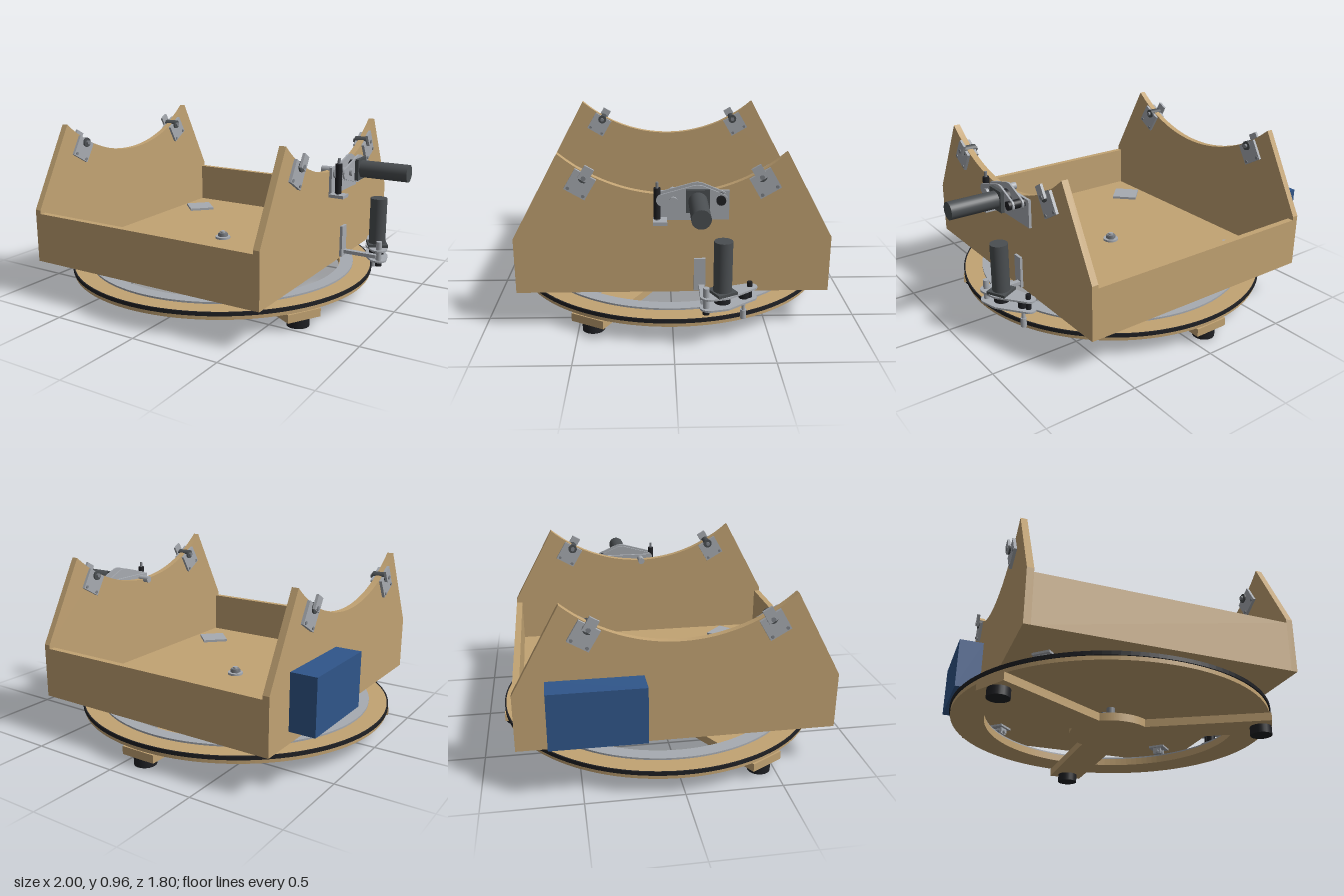
import * as THREE from 'three';
import { ConvexGeometry } from 'three/addons/geometries/ConvexGeometry.js';

const mat = (name, color, side = THREE.FrontSide) => new THREE.MeshStandardMaterial({ name, color, side });

export function createModel() {
  const wood = mat('plywood', 0xc2a373), metal = mat('aluminium', 0xa7abb1), dark = mat('motorGrey', 0x4a4e51);
  const black = mat('blackRubber', 0x1f2024), blue = mat('bluePlastic', 0x30568a), steel = mat('steel', 0x7d8187);
  const root = new THREE.Group();
  const CX = -0.1; // turntable axis

  const add = (name, geo, m, x = 0, y = 0, z = 0, parent = root) => {
    const mesh = new THREE.Mesh(geo, m);
    mesh.name = name;
    mesh.position.set(x, y, z);
    parent.add(mesh);
    return mesh;
  };
  const group = (name, x, y, z, parent = root) => {
    const g = new THREE.Group();
    g.name = name;
    g.position.set(x, y, z);
    parent.add(g);
    return g;
  };
  // box given by its limits
  const box = (name, m, x0, x1, y0, y1, z0, z1, parent = root) =>
    add(name, new THREE.BoxGeometry(x1 - x0, y1 - y0, z1 - z0), m, (x0 + x1) / 2, (y0 + y1) / 2, (z0 + z1) / 2, parent);
  // cylinder along an axis, centred
  const rod = (name, m, r, len, axis, x, y, z, parent = root, sides = 24) => {
    const g = new THREE.CylinderGeometry(r, r, len, sides);
    if (axis === 'x') g.rotateZ(Math.PI / 2);
    if (axis === 'z') g.rotateX(Math.PI / 2);
    return add(name, g, m, x, y, z, parent);
  };
  // flat ring lying in the xz plane with its bottom at y = 0
  const ring = (ro, ri, h) => {
    const s = new THREE.Shape().absarc(0, 0, ro, 0, Math.PI * 2);
    s.holes.push(new THREE.Path().absarc(0, 0, ri, 0, Math.PI * 2, true));
    return new THREE.ExtrudeGeometry(s, { depth: h, bevelEnabled: false, curveSegments: 64 }).rotateX(-Math.PI / 2);
  };
  // plate that wraps several circles [z, offset, radius], thin along x
  const lobes = (circles, t) => {
    const pts = [];
    for (const [u, v, r] of circles)
      for (let i = 0; i < 20; i++) {
        const a = (i / 20) * Math.PI * 2;
        for (const x of [-t / 2, t / 2]) pts.push(new THREE.Vector3(x, v + r * Math.sin(a), u + r * Math.cos(a)));
      }
    return new ConvexGeometry(pts);
  };

  // ---- three-armed ground board with round hub and feet
  const arms = [Math.PI / 6, (5 * Math.PI) / 6, (3 * Math.PI) / 2];
  const W = 0.1, L = 0.9, HUB = 0.234;
  const board = new THREE.Shape();
  const spread = Math.asin(W / HUB);
  arms.forEach((a, i) => {
    const c = Math.cos(a), s = Math.sin(a);
    const p = (l, w) => [l * c - w * s, l * s + w * c];
    if (i === 0) board.moveTo(...p(L, -W)); else board.lineTo(...p(L, -W));
    board.lineTo(...p(L, W));
    board.absarc(0, 0, HUB, a + spread, a + (Math.PI * 2) / 3 - spread, false);
    rod('foot', black, 0.06, 0.048, 'y', CX + 0.84 * c, 0.024, 0.84 * s);
  });
  const boardGeo = new THREE.ExtrudeGeometry(board, { depth: 0.045, bevelEnabled: false, curveSegments: 16 });
  add('groundBoard', boardGeo.rotateX(Math.PI / 2), wood, CX, 0.093, 0);

  // ---- turntable ring, rubber rim and bearing track
  add('turntableRing', ring(0.893, 0.71, 0.042), wood, CX, 0.093, 0);
  add('rimBelt', ring(0.9, 0.892, 0.021), black, CX, 0.115, 0);
  add('bearingTrack', ring(0.79, 0.715, 0.01), metal, CX, 0.135, 0);

  // ---- central pivot
  rod('pivotBlock', wood, 0.055, 0.07, 'y', CX, 0.128, 0);
  rod('pivotBolt', steel, 0.025, 0.13, 'y', CX, 0.215, 0);
  rod('pivotWasher', metal, 0.045, 0.012, 'y', CX, 0.251, 0);
  rod('pivotNut', steel, 0.03, 0.02, 'y', CX, 0.266, 0, root, 6);
  rod('pivotBoltTip', metal, 0.014, 0.02, 'y', CX, 0.28, 0);
  box('encoderArm', metal, CX - 0.015, CX + 0.015, 0.158, 0.166, -0.32, 0.03);
  box('encoder', blue, CX - 0.03, CX + 0.03, 0.172, 0.208, -0.105, -0.06);

  // ---- rocker box
  box('floor', wood, -0.78, 0.585, 0.21, 0.245, -0.785, 0.785);
  for (const s of [-1, 1]) {
    const z = s * 0.8025;
    box(s > 0 ? 'frontBoard' : 'backBoard', wood, -0.78, 0.585, 0.21, 0.49, z - 0.0175, z + 0.0175);
  }
  const R = 0.876, cy = 0.745 + R, half = Math.asin(0.575 / R);
  const side = new THREE.Shape();
  side.moveTo(-0.82, 0.21);
  side.lineTo(0.82, 0.21);
  side.lineTo(0.82, 0.51);
  side.lineTo(0.575, 0.96);
  side.absarc(0, cy, R, -Math.PI / 2 + half, -Math.PI / 2 - half, true);
  side.lineTo(-0.82, 0.51);
  const sideGeo = new THREE.ExtrudeGeometry(side, { depth: 0.036, bevelEnabled: false, curveSegments: 32 }).rotateY(Math.PI / 2);
  add('rightSideBoard', sideGeo, wood, -0.816, 0, 0);
  add('leftSideBoard', sideGeo, wood, 0.585, 0, 0);

  // ---- casters under the floor with their cover plates
  for (const sx of [-1, 1])
    for (const sz of [-1, 1]) {
      const g = group('caster', CX + sx * 0.535, 0, sz * 0.54);
      g.rotation.y = -Math.atan2(sz, sx);
      box('coverPlate', metal, -0.08, 0.08, 0.245, 0.26, -0.08, 0.08, g);
      box('casterPlate', metal, -0.05, 0.05, 0.198, 0.21, -0.05, 0.05, g);
      for (const s of [-1, 1]) box('casterFork', metal, s * 0.03 - 0.005, s * 0.03 + 0.005, 0.16, 0.2, -0.025, 0.025, g);
      rod('casterWheel', steel, 0.027, 0.045, 'x', 0, 0.173, 0, g);
      rod('casterAxle', metal, 0.012, 0.1, 'x', 0, 0.175, 0, g);
    }

  // ---- roller brackets clamped on the curved edges
  for (const sx of [-1, 1])
    for (const sz of [-1, 1]) {
      const g = group('rollerBracket', sx > 0 ? 0.603 : -0.798, 0.805, sz * 0.465);
      g.rotation.x = -sz * 0.53;
      for (const s of [-1, 1]) box('clampPlate', metal, s * 0.026 - 0.008, s * 0.026 + 0.008, -0.06, 0.06, -0.06, 0.06, g);
      rod('roller', dark, 0.027, 0.085, 'x', 0, 0.043, 0, g);
      rod('rollerAxle', steel, 0.012, 0.11, 'x', 0, 0.043, 0, g);
      box('tab', metal, sx * 0.045 - 0.007, sx * 0.045 + 0.007, 0.03, 0.105, -0.027, 0.027, g);
      for (const s of [-1, 1]) rod('screw', steel, 0.009, 0.075, 'x', 0, -0.045, s * 0.043, g, 12);
    }

  // ---- control box
  box('controlBox', blue, -0.97, -0.83, 0.29, 0.585, -0.66, -0.18);

  // ---- altitude drive
  const alt = group('altitudeDrive', 0, 0, 0);
  box('mountPlate', metal, 0.621, 0.636, 0.615, 0.77, -0.285, 0.065, alt);
  box('mountShelf', metal, 0.636, 0.72, 0.615, 0.632, 0.03, 0.1, alt);
  const outline = [[0.055, 0.745, 0.03], [-0.12, 0.745, 0.077], [-0.24, 0.745, 0.03]];
  add('innerPlate', lobes(outline, 0.01), metal, 0.655, 0, 0, alt);
  add('outerPlate', lobes(outline, 0.01), metal, 0.71, 0, 0, alt);
  rod('motor', dark, 0.047, 0.27, 'x', 0.865, 0.745, -0.12, alt, 32);
  box('motorFlange', dark, 0.715, 0.735, 0.687, 0.803, -0.178, -0.062, alt);
  rod('driveWheel', black, 0.045, 0.035, 'x', 0.683, 0.745, -0.12, alt);
  rod('pulley', black, 0.024, 0.1, 'x', 0.68, 0.745, -0.235, alt);
  rod('driveShaft', metal, 0.02, 0.18, 'x', 0.64, 0.745, 0, alt);
  rod('tensionSpring', black, 0.018, 0.16, 'y', 0.682, 0.72, 0.08, alt);
  rod('springBolt', steel, 0.008, 0.2, 'y', 0.682, 0.73, 0.08, alt, 12);

  // ---- azimuth drive
  box('azimuthMount', metal, 0.621, 0.636, 0.22, 0.4, -0.17, -0.11);
  box('azimuthArm', metal, 0.63, 0.83, 0.235, 0.255, -0.165, -0.135);
  const az = group('azimuthDrive', 0.795, 0, -0.245);
  az.rotation.y = 0.48;
  const azOutline = [[-0.17, 0, 0.035], [0, 0, 0.065], [0.08, 0, 0.045]];
  for (const [name, y] of [['lowerPlate', 0.217], ['upperPlate', 0.277]])
    add(name, lobes(azOutline, 0.01).rotateZ(Math.PI / 2), metal, 0, y, 0, az);
  rod('motor', dark, 0.047, 0.27, 'y', 0, 0.425, 0, az, 32);
  box('motorFlange', dark, -0.055, 0.055, 0.28, 0.297, -0.055, 0.055, az);
  rod('driveWheel', black, 0.042, 0.03, 'y', 0, 0.247, 0, az);
  rod('pulley', black, 0.026, 0.04, 'y', 0, 0.247, -0.13, az);
  rod('pulleyBolt', black, 0.014, 0.09, 'y', 0, 0.262, -0.165, az, 12);
  rod('pivotPost', metal, 0.016, 0.14, 'y', 0, 0.26, 0.095, az);
  rod('pivotFoot', black, 0.018, 0.03, 'y', 0, 0.203, 0.095, az);
  rod('driveSpindle', metal, 0.01, 0.14, 'y', 0, 0.18, -0.13, az);
  rod('driveRoller', metal, 0.016, 0.05, 'y', 0, 0.135, -0.13, az);

  return root;
}
